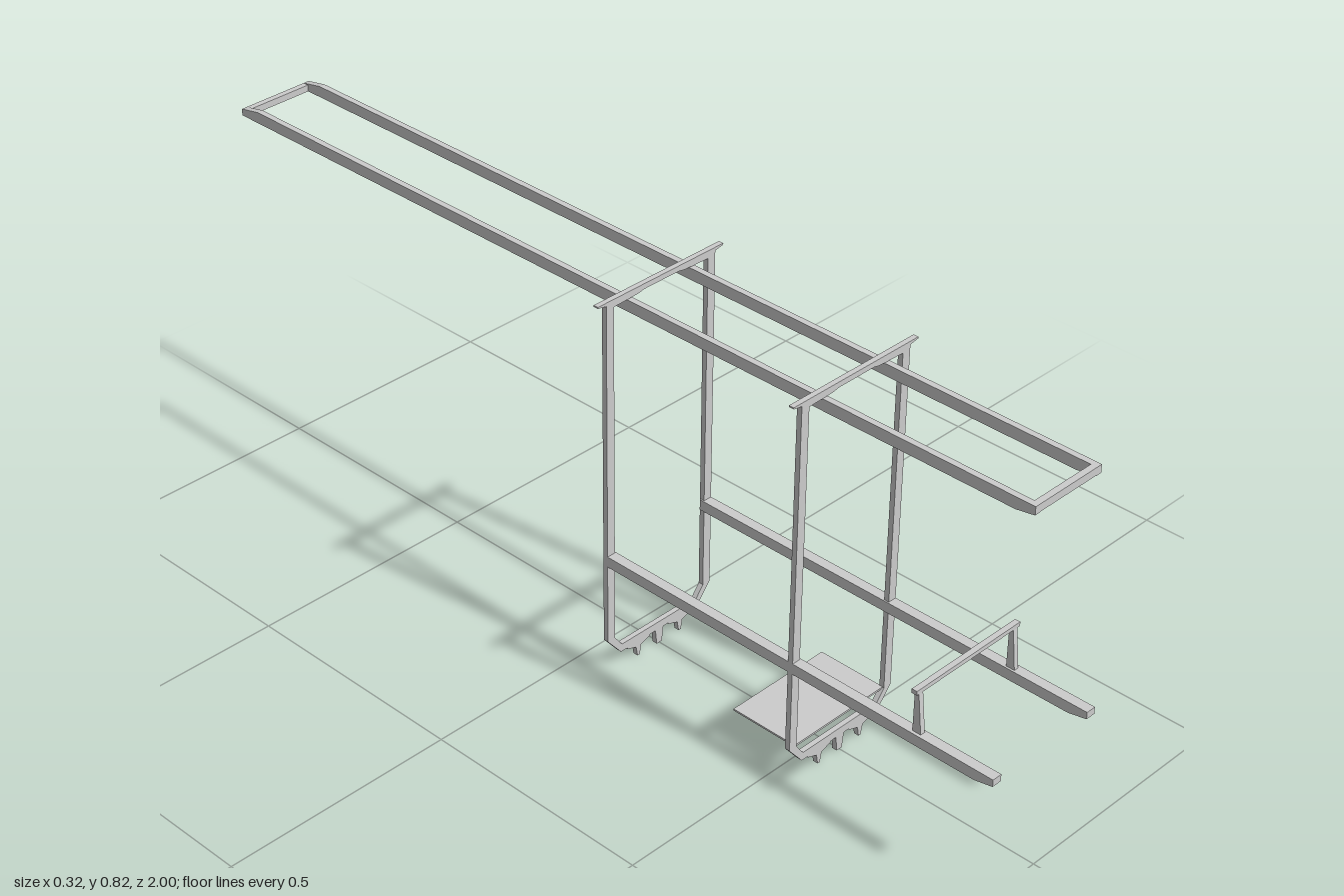
import * as THREE from 'three';

const grey = new THREE.MeshStandardMaterial({ color: 0xcccccc, flatShading: true });

function add(group, name, geometry, x = 0, y = 0, z = 0) {
  const mesh = new THREE.Mesh(geometry, grey);
  mesh.name = name;
  mesh.position.set(x, y, z);
  group.add(mesh);
  return mesh;
}

const toShape = (pts) => new THREE.Shape(pts.map(([x, y]) => new THREE.Vector2(x, y)));

// Front-facing outline (x, y) with thickness along z, centred
function plate(shape, depth) {
  return new THREE.ExtrudeGeometry(shape, { depth, bevelEnabled: false }).translate(0, 0, -depth / 2);
}

// Side outline (z, y) with thickness along x, centred
function sidePlate(pts, width) {
  return plate(toShape(pts.map(([z, y]) => [-z, y])), width).rotateY(Math.PI / 2);
}

// Completes a right-hand half outline by mirroring it in x
const mirrored = (half) => [...half, ...half.map(([x, y]) => [-x, y]).reverse()];

function createFrame(name, z) {
  const frame = new THREE.Group();
  frame.name = name;
  frame.position.z = z;
  const depth = 0.011;

  // Closed loop: two legs, chamfered foot and top beam with spread ends
  const ring = toShape(mirrored([
    [0.105, 0.033], [0.14, 0.075], [0.14, 0.816], [0.161, 0.820], [0.161, 0.823],
  ]));
  ring.holes.push(new THREE.Path(mirrored([
    [0.102, 0.05], [0.121, 0.075], [0.121, 0.807], [0.06, 0.809], [0.045, 0.812],
  ]).map(([x, y]) => new THREE.Vector2(x, y))));
  add(frame, 'legLoop', plate(ring, depth));

  // Centre stud and two winged studs under the foot
  add(frame, 'centreStud', plate(toShape(mirrored([[0.007, 0], [0.011, 0.034]])), depth));
  const stud = mirrored([[0.003, 0], [0.007, 0.022], [0.031, 0.030], [0.031, 0.034]]);
  for (const s of [-1, 1]) add(frame, 'wingedStud', plate(toShape(stud), depth), s * 0.057);
  return frame;
}

export function createModel() {
  const model = new THREE.Group();
  model.name = 'railRack';

  model.add(createFrame('frontFrame', 0.538), createFrame('rearFrame', 0.073));

  // Long upper rails with sloped ends, closed by end bars
  const upper = [[1, 0.79], [1, 0.807], [-0.95, 0.807], [-1, 0.797], [-1, 0.783], [0.96, 0.783]];
  for (const s of [-1, 1]) add(model, 'upperRail', sidePlate(upper, 0.013), s * 0.08);
  add(model, 'upperFrontBar', new THREE.BoxGeometry(0.17, 0.016, 0.013), 0, 0.799, 0.9935);
  add(model, 'upperRearBar', new THREE.BoxGeometry(0.17, 0.014, 0.013), 0, 0.79, -0.9935);

  // Lower rails
  const lower = [[1, 0.258], [1, 0.273], [0.07, 0.273], [0.07, 0.25], [0.96, 0.25]];
  for (const s of [-1, 1]) add(model, 'lowerRail', sidePlate(lower, 0.022), s * 0.129);

  // Hoop standing on the lower rails
  const post = [[0.835, 0.27], [0.825, 0.36], [0.816, 0.36], [0.816, 0.27]];
  for (const s of [-1, 1]) add(model, 'hoopPost', sidePlate(post, 0.011), s * 0.128);
  add(model, 'hoopBar', new THREE.BoxGeometry(0.28, 0.009, 0.012), 0, 0.362, 0.82);

  // Foot platform
  add(model, 'footPlatform', new THREE.BoxGeometry(0.244, 0.004, 0.152), 0, 0.074, 0.464);

  return model;
}
